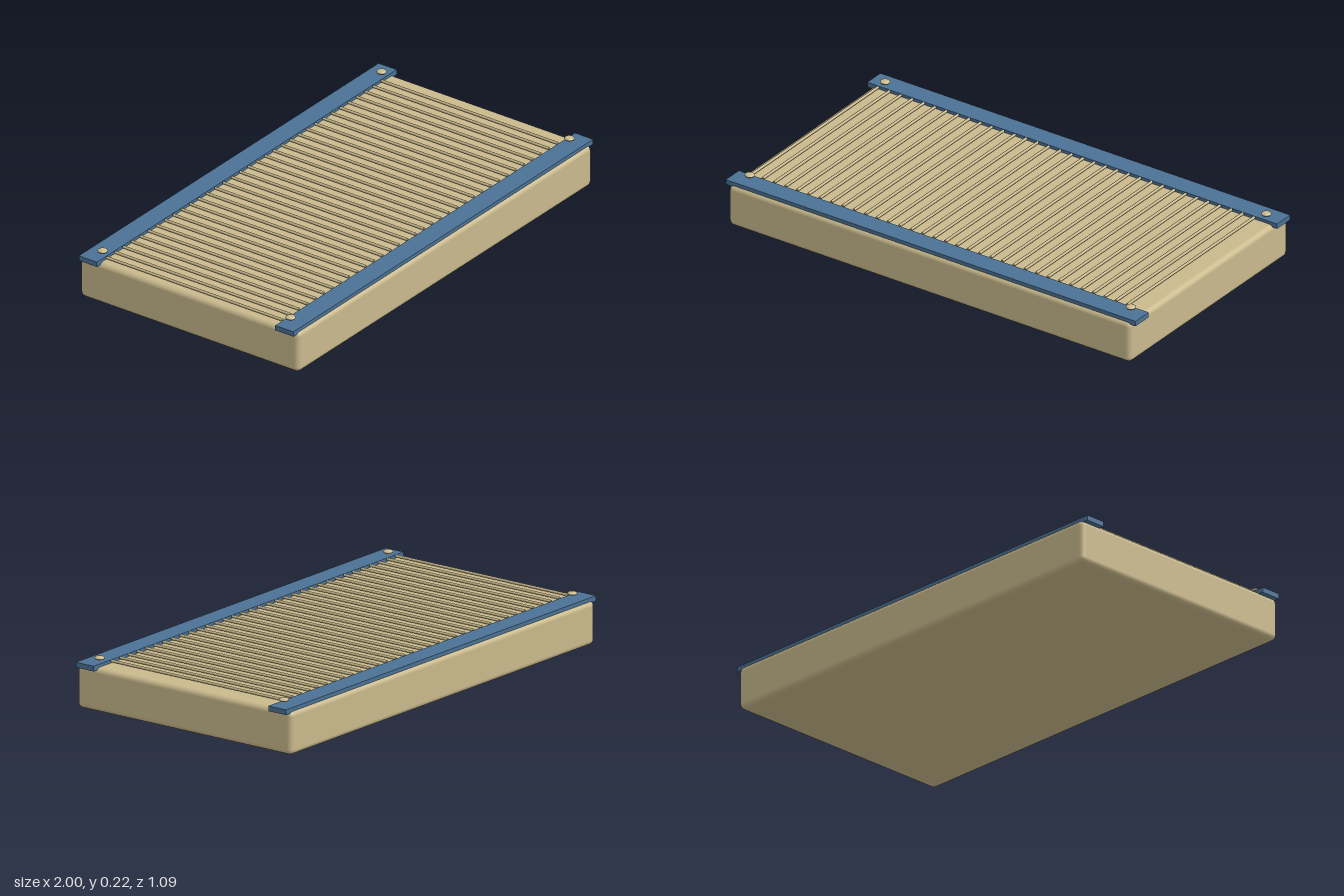
import * as THREE from 'three';
import { RoundedBoxGeometry } from 'three/addons/geometries/RoundedBoxGeometry.js';

export function createModel() {
  const model = new THREE.Group();
  model.name = 'stringedBox';
  const tan = new THREE.MeshStandardMaterial({ color: 0xc9b98c });
  const blue = new THREE.MeshStandardMaterial({ color: 0x4a7194 });

  const add = (parent, name, geometry, material, x, y, z) => {
    const mesh = new THREE.Mesh(geometry, material);
    mesh.name = name;
    mesh.position.set(x, y, z);
    parent.add(mesh);
    return mesh;
  };

  // Sound box with softly rounded edges
  add(model, 'body', new RoundedBoxGeometry(1.962, 0.182, 1.086, 3, 0.022), tan, 0, 0.091, 0);

  // Rails along the front and back, with a squashed knob near each end
  const railGeometry = new THREE.BoxGeometry(2, 0.022, 0.09);
  const knobGeometry = new THREE.SphereGeometry(0.021, 12, 8);
  knobGeometry.scale(1, 0.4, 1);
  for (const side of [1, -1]) {
    const end = side > 0 ? 'front' : 'back';
    add(model, end + 'Rail', railGeometry, blue, 0, 0.184, side * 0.487);
    for (const x of [0.93, -0.93]) {
      add(model, end + (x > 0 ? 'Left' : 'Right') + 'Knob', knobGeometry, tan, x, 0.209, side * 0.466);
    }
  }

  // Row of thin rods running between the rails
  const strings = new THREE.Group();
  strings.name = 'strings';
  const stringGeometry = new THREE.CylinderGeometry(0.006, 0.006, 0.872, 8);
  stringGeometry.rotateX(Math.PI / 2);
  const count = 34;
  for (let i = 0; i < count; i++) {
    add(strings, 'string' + (i + 1), stringGeometry, tan, -0.943 + i * 0.0556, 0.193, 0);
  }
  model.add(strings);

  return model;
}
